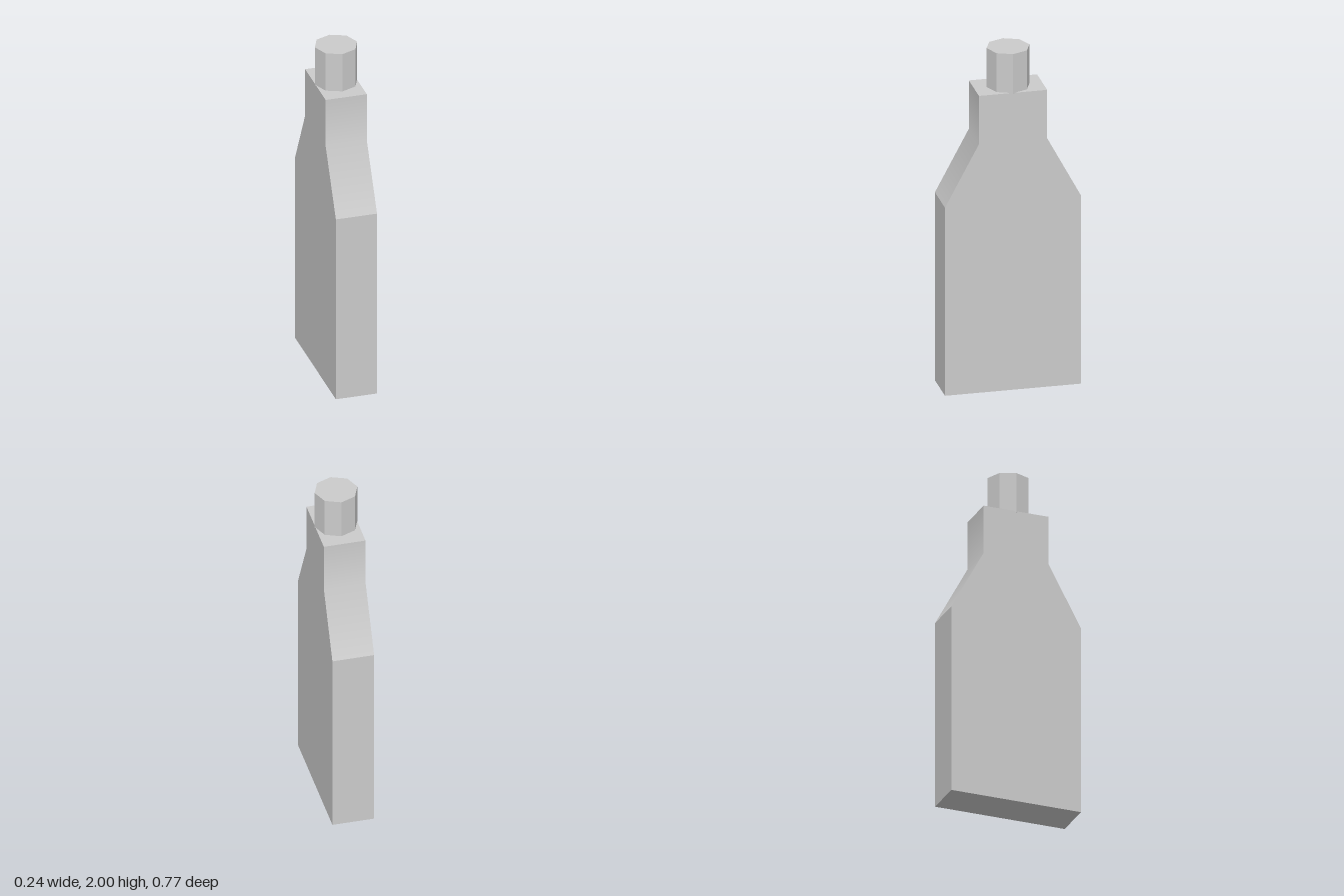
import * as THREE from 'three';

const DEPTH = 0.238, SHOULDER_Y = 1.48;

function createBody() {
  // Half outline of the bottle (z, y), mirrored to close the silhouette
  const half = [[0.387, 0], [0.387, 1.12], [0.194, SHOULDER_Y], [0.194, 1.768]];
  const mirrored = half.map(([z, y]) => [-z, y]).reverse();
  const shape = new THREE.Shape([...half, ...mirrored].map(([z, y]) => new THREE.Vector2(z, y)));
  const geometry = new THREE.ExtrudeGeometry(shape, { depth: DEPTH, bevelEnabled: false });
  geometry.translate(0, 0, -DEPTH / 2).rotateY(Math.PI / 2);

  // Blend the normals where the sloping shoulder meets the neck
  const slope = new THREE.Vector2(1.0, 0).rotateAround(new THREE.Vector2(), Math.atan2(0.193, 0.36));
  const blend = slope.add(new THREE.Vector2(1, 0)).normalize();
  const { position, normal } = geometry.attributes;
  for (let i = 0; i < position.count; i++) {
    const onSide = Math.abs(normal.getX(i)) < 0.5;
    if (onSide && Math.abs(position.getY(i) - SHOULDER_Y) < 1e-4) {
      normal.setXYZ(i, 0, blend.y, Math.sign(position.getZ(i)) * blend.x);
    }
  }
  return geometry;
}

export function createModel() {
  const group = new THREE.Group();
  group.name = 'bottle';

  // Flat bottle with sloping shoulders and a short neck
  const body = new THREE.Mesh(createBody(), new THREE.MeshStandardMaterial({ color: 0xcccccc }));
  body.name = 'body';

  // Eight-sided cap, corners on the axes
  const cap = new THREE.Mesh(
    new THREE.CylinderGeometry(0.122, 0.122, 0.238, 8),
    new THREE.MeshStandardMaterial({ color: 0xcccccc, flatShading: true })
  );
  cap.name = 'cap';
  cap.position.y = 2 - 0.238 / 2;

  group.add(body, cap);
  return group;
}
